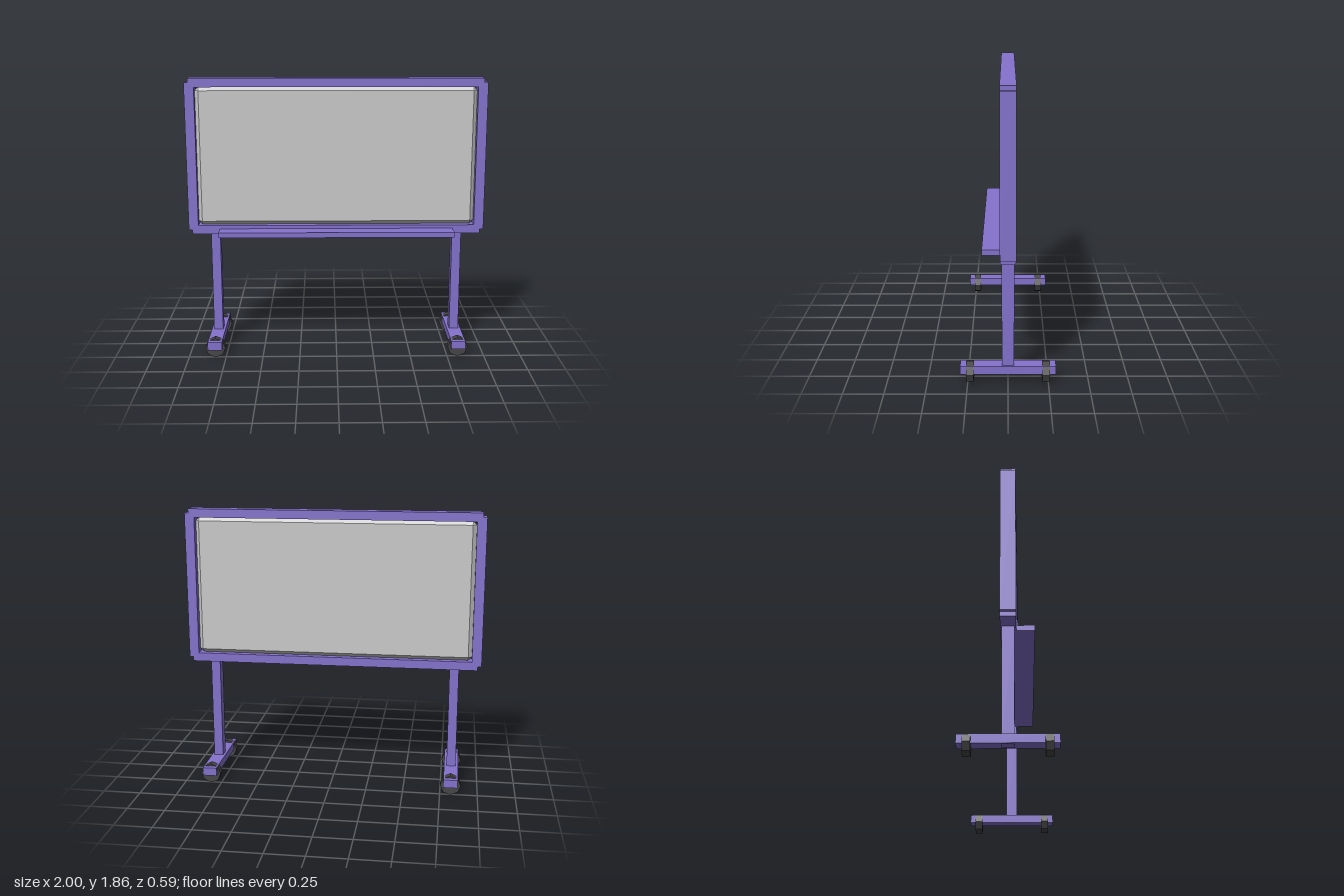
import * as THREE from 'three';
import { ConvexGeometry } from 'three/addons/geometries/ConvexGeometry.js';

export function createModel() {
  const purple = new THREE.MeshStandardMaterial({ color: 0x8472cd });
  purple.name = 'purple frame';
  const grey = new THREE.MeshStandardMaterial({ color: 0xcacaca });
  grey.name = 'grey board';
  const dark = new THREE.MeshStandardMaterial({ color: 0x464646, flatShading: true });
  dark.name = 'dark rubber';

  const model = new THREE.Group();
  model.name = 'rollingBoard';

  const add = (name, geometry, material, x, y, z, parent = model) => {
    const mesh = new THREE.Mesh(geometry, material);
    mesh.name = name;
    mesh.position.set(x, y, z);
    parent.add(mesh);
    return mesh;
  };

  // Frame: outline with notched corners and a rectangular opening
  const cy = 1.335, w = 1, h = 0.525, nx = 0.025, ny = 0.028;
  const outline = [];
  for (const [sx, sy, flip] of [[1, -1, 0], [1, 1, 1], [-1, 1, 0], [-1, -1, 1]]) {
    const corner = [
      [sx * (w - nx), sy * h],
      [sx * (w - nx), sy * (h - ny)],
      [sx * w, sy * (h - ny)],
    ];
    if (flip) corner.reverse();
    outline.push(...corner.map(([x, y]) => new THREE.Vector2(x, y)));
  }
  const frameShape = new THREE.Shape(outline);
  const iw = 0.935, ih = 0.467;
  frameShape.holes.push(new THREE.Path([
    new THREE.Vector2(-iw, -ih), new THREE.Vector2(-iw, ih),
    new THREE.Vector2(iw, ih), new THREE.Vector2(iw, -ih),
  ]));
  const frame = new THREE.ExtrudeGeometry(frameShape, { depth: 0.096, bevelEnabled: false });
  add('frame', frame, purple, 0, cy, -0.048);

  // Board: a thin panel with every edge and corner chamfered
  const b = 0.025, hz = 0.027;
  const points = [];
  for (const sx of [-1, 1]) for (const sy of [-1, 1]) for (const sz of [-1, 1]) {
    points.push(
      new THREE.Vector3(sx * iw, sy * (ih - b), sz * (hz - b)),
      new THREE.Vector3(sx * (iw - b), sy * ih, sz * (hz - b)),
      new THREE.Vector3(sx * (iw - b), sy * (ih - b), sz * hz),
    );
  }
  add('board', new ConvexGeometry(points), grey, 0, cy, 0);

  // Tray along the lower front edge
  add('tray', new THREE.BoxGeometry(1.58, 0.035, 0.114), purple, 0, 0.8275, 0.103);

  // Two stands, each with a post, a foot and two wheels
  const postGeo = new THREE.BoxGeometry(0.062, 0.75, 0.076);
  const footGeo = new THREE.BoxGeometry(0.095, 0.055, 0.59);
  const wheelGeo = new THREE.CylinderGeometry(0.068, 0.068, 0.048, 8).rotateX(Math.PI / 2);
  for (const side of [-1, 1]) {
    const stand = new THREE.Group();
    stand.name = side > 0 ? 'leftStand' : 'rightStand';
    stand.position.x = side * 0.82;
    model.add(stand);
    add('post', postGeo, purple, 0, 0.437, 0, stand);
    add('foot', footGeo, purple, 0, 0.0925, 0, stand);
    add('frontWheel', wheelGeo, dark, 0, 0.068, 0.235, stand);
    add('backWheel', wheelGeo, dark, 0, 0.068, -0.235, stand);
  }
  return model;
}
